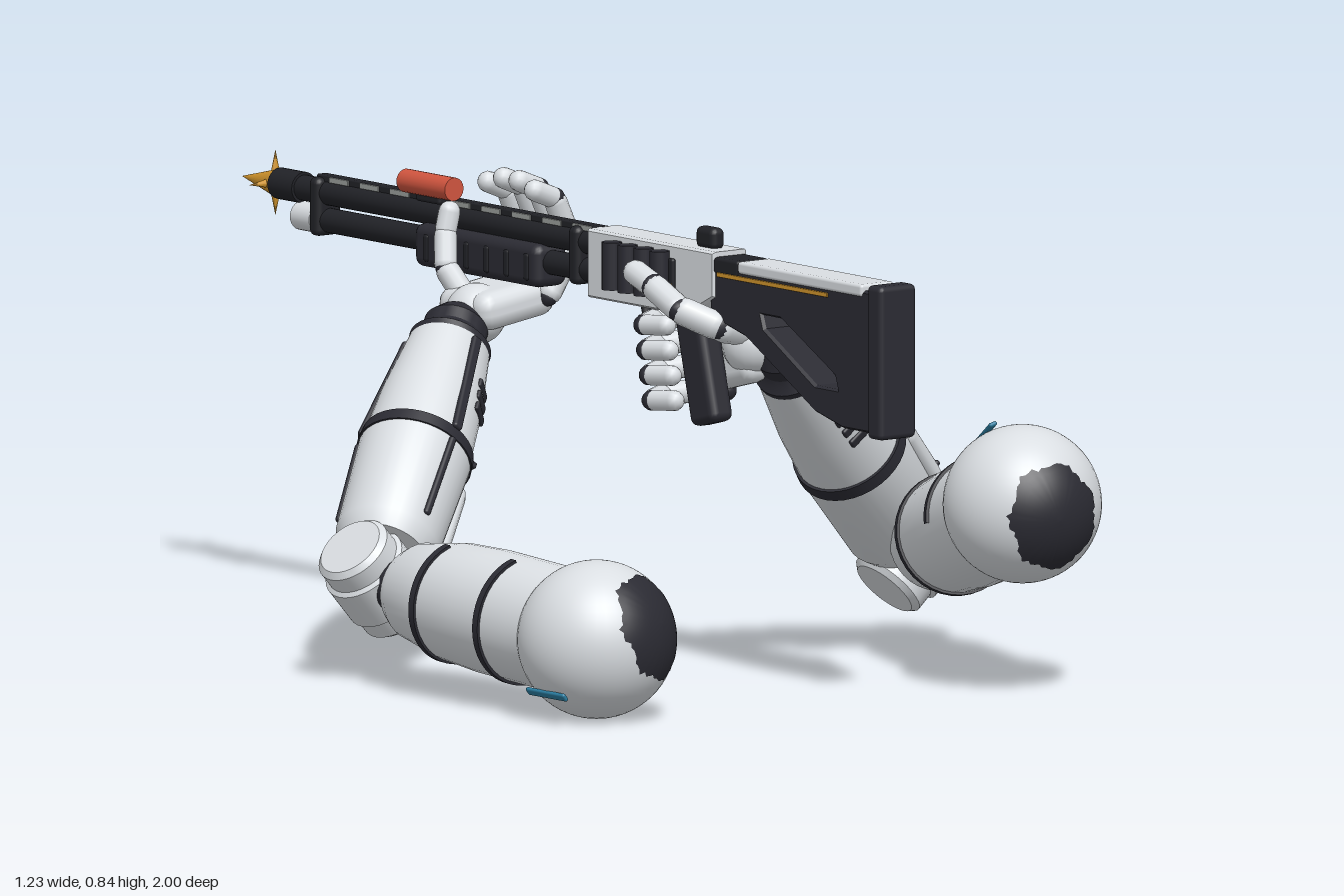
import * as THREE from 'three';
import { toCreasedNormals } from 'three/addons/utils/BufferGeometryUtils.js';
import { RoundedBoxGeometry } from 'three/addons/geometries/RoundedBoxGeometry.js';

const mat = (name, color) => Object.assign(new THREE.MeshStandardMaterial({ color }), { name });
const shell = mat('pale armour', 0xdadee2);
const joint = mat('dark joint', 0x2b2b33);
const black = mat('gun black', 0x212227);
const grey = mat('mid grey', 0x9a9e9c);
const amber = mat('amber', 0xd0942c);
const red = mat('red', 0xd0553f);
const blue = mat('blue', 0x2c7fa3);

const V = (x, y, z) => new THREE.Vector3(x, y, z);

function add(parent, name, geometry, material, x = 0, y = 0, z = 0) {
  const m = new THREE.Mesh(geometry, material);
  m.name = name;
  m.position.set(x, y, z);
  parent.add(m);
  return m;
}
const box = (w, h, d, r = 0.006) => new RoundedBoxGeometry(w, h, d, 2, Math.min(r, w / 2.1, h / 2.1, d / 2.1));
const tubeZ = (r, len, r2 = r) => new THREE.CylinderGeometry(r, r2, len, 24).rotateX(-Math.PI / 2);
const lathe = (pts) => toCreasedNormals(
  new THREE.LatheGeometry(pts.map(([r, y]) => new THREE.Vector2(r, y)), 36), 0.5);

// Group at a, +y running toward b, +z turned toward the given side
function frame(parent, name, a, b, side) {
  const y = b.clone().sub(a).normalize();
  const z = side.clone().addScaledVector(y, -side.dot(y)).normalize();
  const g = new THREE.Group();
  g.name = name;
  g.quaternion.setFromRotationMatrix(new THREE.Matrix4().makeBasis(V().crossVectors(y, z), y, z));
  g.position.copy(a);
  parent.add(g);
  return g;
}

// Jointed finger: one capsule per path segment
function finger(parent, name, pts, r) {
  const g = new THREE.Group();
  g.name = name;
  parent.add(g);
  for (let i = 0; i < pts.length - 1; i++) {
    const len = pts[i].distanceTo(pts[i + 1]);
    const f = frame(g, 'fingerJoint', pts[i], pts[i + 1], V(0.31, 0.52, 0.8));
    add(f, 'fingerShell', new THREE.CapsuleGeometry(r * (1 - 0.05 * i), len * 0.74, 4, 12), shell, 0, len / 2, 0);
    add(f, 'knuckle', new THREE.SphereGeometry(r * 0.85, 12, 8), joint);
  }
}

// Ragged dark patch lying on the shoulder ball
function patch(angle, radius) {
  const rings = 8, seg = 72, pos = [], idx = [];
  for (let i = 0; i <= rings; i++) for (let j = 0; j <= seg; j++) {
    const k = j % seg;
    const w = k / seg * Math.PI * 2;
    const ragged = 1 + 0.08 * Math.sin(w * 2 + 1) + 0.05 * Math.sin(w * 7) + 0.05 * Math.sin(k * 2.4) * Math.sin(w * 3);
    const t = angle * ragged * i / rings;
    pos.push(radius * Math.sin(t) * Math.cos(w), radius * Math.sin(t) * Math.sin(w), radius * Math.cos(t));
  }
  for (let i = 0; i < rings; i++) for (let j = 0; j < seg; j++) {
    const a = i * (seg + 1) + j, b = a + seg + 1;
    idx.push(a, b, b + 1, a, b + 1, a + 1);
  }
  const g = new THREE.BufferGeometry();
  g.setAttribute('position', new THREE.Float32BufferAttribute(pos, 3));
  g.setIndex(idx);
  g.computeVertexNormals();
  return g;
}

function arm(root, name, o) {
  const g = new THREE.Group();
  g.name = name;
  root.add(g);
  const { shoulder, elbow, wrist } = o;

  // Shoulder ball
  add(g, 'shoulder', new THREE.SphereGeometry(0.141, 48, 32), shell, ...shoulder);
  const worn = frame(g, 'shoulderPatch', shoulder, shoulder.clone().add(V(0, 1, 0).cross(o.patch)), o.patch);
  add(worn, 'wornPatch', patch(o.patchAngle, 0.1425), joint);
  const mark = frame(g, 'shoulderMark', shoulder, shoulder.clone().add(o.markRun), o.mark);
  add(mark, 'blueMark', box(0.016, 0.11, 0.008), blue, 0, 0, 0.142);

  // Upper arm
  const L = shoulder.distanceTo(elbow);
  const u = frame(g, 'upperArm', shoulder, elbow, o.bandSide);
  add(u, 'upperArmShell', lathe([[0, 0.05], [0.108, 0.06], [0.112, 0.12], [0.112, L * 0.45], [0.106, L * 0.62],
    [0.088, L - 0.13], [0.075, L - 0.105], [0, L - 0.105]]), shell);
  add(u, 'elbowStem', new THREE.CylinderGeometry(0.05, 0.05, 0.12, 24), joint, 0, L - 0.07, 0);
  [[0.32, 0.114], [0.62, 0.108]].forEach(([t, r], i) => {
    const arc = o.bandArcs[i];
    add(u, 'armBand', new THREE.CylinderGeometry(r + 0.003, r + 0.003, 0.014, 36, 1, false, -arc / 2, arc), joint, 0, L * t, 0);
  });

  // Elbow hinge, square to both arm halves
  const axis = shoulder.clone().sub(elbow).cross(wrist.clone().sub(elbow)).normalize();
  const h = frame(g, 'elbow', elbow, elbow.clone().add(axis), V(0.1, 0.2, 1));
  add(h, 'elbowHub', lathe([[0, -0.088], [0.06, -0.088], [0.07, -0.078], [0.07, -0.045], [0.078, -0.04],
    [0.078, 0.04], [0.07, 0.045], [0.07, 0.078], [0.06, 0.088], [0, 0.088]]), shell);

  // Forearm: two shells with a dark band and cuff
  const F = elbow.distanceTo(wrist);
  const f = frame(g, 'forearm', elbow, wrist, V(0, 0, 1));
  add(f, 'lowerShell', lathe([[0, 0.06], [0.08, 0.06], [0.094, 0.09], [0.102, F * 0.5], [0, F * 0.5]]), shell);
  add(f, 'forearmBand', new THREE.CylinderGeometry(0.103, 0.105, 0.024, 36), joint, 0, F * 0.51, 0);
  add(f, 'upperShell', lathe([[0, F * 0.53], [0.098, F * 0.53], [0.092, F * 0.7], [0.074, F - 0.045], [0, F - 0.045]]), shell);
  add(f, 'cuff', lathe([[0, F - 0.05], [0.074, F - 0.05], [0.075, F - 0.035], [0.064, F - 0.025], [0.058, F - 0.015],
    [0.058, F + 0.01], [0.04, F + 0.035], [0, F + 0.035]]), joint);

  // Raised panel with dark bolts, and two studs past the band
  const p = frame(g, 'panelSide', elbow, wrist, o.panel);
  const raised = add(p, 'raisedPanel', new THREE.CapsuleGeometry(0.036, 0.11, 6, 16), shell, 0, F * 0.34, 0.097);
  raised.scale.z = 0.6;
  for (const s of [-1, 1]) {
    add(p, 'panelBolt', new THREE.SphereGeometry(0.006, 10, 8), joint, 0, F * 0.34 + s * 0.06, 0.118);
    add(p, 'panelStud', box(0.012, 0.012, 0.02, 0.003), joint, s * 0.02, F * 0.58, 0.103);
  }

  // Vent slots and narrow seams
  for (const side of o.vents) {
    const s = frame(g, 'ventSide', elbow, wrist, side);
    for (let i = 0; i < 3; i++)
      add(s, 'ventSlot', box(0.052, 0.018, 0.009), joint, 0, F * 0.68 + i * 0.027, 0.092 - i * 0.004);
  }
  for (const side of o.seams) {
    const s = frame(g, 'seamSide', elbow, wrist, side);
    const upper = add(s, 'upperSeam', box(0.02, 0.23, 0.012), joint, 0, F * 0.72, 0.09);
    upper.rotation.x = -0.12;
    const lower = add(s, 'lowerSeam', box(0.014, 0.18, 0.012), joint, 0, F * 0.34, 0.098);
    lower.rotation.x = 0.04;
  }
}

function gun(root) {
  const g = new THREE.Group();
  g.name = 'longGun';
  root.add(g);

  // Stock with slanted cut-out
  const outline = new THREE.Shape([[0.87, 0.5], [0.87, 0.745], [0.4, 0.745], [0.4, 0.655], [0.5, 0.63], [0.7, 0.52], [0.78, 0.5]]
    .map(([a, b]) => new THREE.Vector2(a, b)));
  outline.holes.push(new THREE.Path([[0.77, 0.56], [0.7, 0.56], [0.55, 0.645], [0.54, 0.675], [0.6, 0.675], [0.76, 0.59]]
    .map(([a, b]) => new THREE.Vector2(a, b))));
  const stock = new THREE.ExtrudeGeometry(outline, { depth: 0.054, bevelEnabled: true, bevelSize: 0.004, bevelThickness: 0.006, bevelSegments: 1 });
  add(g, 'stock', stock.translate(0, 0, -0.027).rotateY(-Math.PI / 2), joint);
  add(g, 'buttPad', box(0.082, 0.275, 0.042, 0.01), joint, 0, 0.625, 0.88);
  add(g, 'comb', box(0.074, 0.022, 0.36), shell, 0, 0.749, 0.66);
  add(g, 'combFront', box(0.07, 0.03, 0.08), black, 0, 0.745, 0.44);
  for (const s of [-1, 1]) add(g, 'stockStripe', box(0.004, 0.008, 0.32, 0.001), amber, s * 0.035, 0.73, 0.58);

  // Receiver
  const body = new THREE.Shape([[0.41, 0.69], [0.41, 0.765], [0.05, 0.765], [0.05, 0.65], [0.33, 0.65]]
    .map(([a, b]) => new THREE.Vector2(a, b)));
  const receiver = new THREE.ExtrudeGeometry(body, { depth: 0.064, bevelSize: 0.004, bevelThickness: 0.006, bevelSegments: 1 });
  add(g, 'receiver', receiver.translate(0, 0, -0.032).rotateY(-Math.PI / 2), shell);
  add(g, 'portFrame', box(0.006, 0.046, 0.13, 0.002), black, 0.038, 0.73, 0.175);
  add(g, 'ejectionPort', box(0.008, 0.038, 0.115, 0.002), amber, 0.039, 0.73, 0.172);
  for (const z of [0.09, 0.28]) add(g, 'pin', box(0.006, 0.012, 0.012), amber, 0.038, 0.667, z);
  add(g, 'rearSight', box(0.03, 0.04, 0.055, 0.012), black, 0, 0.785, 0.355);

  // Shell carrier
  add(g, 'carrierPlate', box(0.01, 0.07, 0.19), black, -0.041, 0.71, 0.21);
  for (let i = 0; i < 4; i++)
    add(g, 'spareShell', new THREE.CylinderGeometry(0.018, 0.018, 0.085, 16), joint, -0.054, 0.715, 0.14 + i * 0.046);
  add(g, 'carrierTab', box(0.022, 0.022, 0.008, 0.002), amber, -0.056, 0.69, 0.3);

  // Grip and trigger guard
  const grip = add(g, 'grip', box(0.05, 0.22, 0.075, 0.015), joint, 0, 0.56, 0.335);
  grip.rotation.x = -0.25;
  const guard = add(g, 'triggerGuard', new THREE.TorusGeometry(0.042, 0.009, 8, 20, Math.PI), black, 0, 0.65, 0.21);
  guard.rotation.set(Math.PI, Math.PI / 2, 0);

  // Barrel, rib and magazine tube
  add(g, 'barrel', tubeZ(0.023, 0.94), black, 0, 0.738, -0.42);
  add(g, 'barrelRib', box(0.022, 0.014, 0.82, 0.003), black, 0, 0.763, -0.36);
  for (let i = 0; i < 9; i++) for (const s of [-1, 1])
    add(g, 'ribVent', box(0.004, 0.01, 0.055, 0.001), grey, s * 0.0115, 0.763, -i * 0.088);
  add(g, 'magazineTube', tubeZ(0.022, 0.84), black, 0, 0.688, -0.36);
  add(g, 'magazineCap', tubeZ(0.026, 0.055), shell, 0, 0.688, -0.8);
  for (const z of [-0.01, -0.76]) add(g, 'barrelClamp', box(0.056, 0.105, 0.03, 0.012), black, 0, 0.713, z);
  add(g, 'foreEnd', box(0.074, 0.078, 0.36, 0.018), joint, 0, 0.682, -0.28);
  for (let i = 0; i < 6; i++) add(g, 'foreEndRib', box(0.079, 0.05, 0.016), black, 0, 0.68, -0.13 - i * 0.058);

  // Muzzle with spiked amber tip
  add(g, 'muzzle', tubeZ(0.028, 0.07), black, 0, 0.738, -0.855);
  add(g, 'tip', tubeZ(0, 0.11, 0.026), amber, 0, 0.738, -0.945);
  for (let i = 0; i < 4; i++) {
    const a = i * Math.PI / 2;
    const spike = add(g, 'tipSpike', new THREE.ConeGeometry(0.01, 0.05, 8), amber,
      Math.sin(a) * -0.034, 0.738 + Math.cos(a) * 0.034, -0.903);
    spike.rotation.z = a;
  }

  // Red canister beside the rib
  const canister = new THREE.CylinderGeometry(0.021, 0.021, 0.14, 20).rotateX(Math.PI / 2);
  add(g, 'canister', canister, red, -0.02, 0.79, -0.43);
  add(g, 'canisterMount', box(0.03, 0.02, 0.07), black, -0.012, 0.768, -0.43);
}

// Hand under the fore-end, fingers wrapping up and over
function supportHand(root) {
  const g = new THREE.Group();
  g.name = 'supportHand';
  root.add(g);
  const palm = add(g, 'palm', box(0.17, 0.07, 0.15, 0.03), shell, -0.01, 0.603, -0.25);
  palm.rotation.z = 0.15;
  add(g, 'heel', new THREE.SphereGeometry(0.055, 20, 14), shell, -0.06, 0.585, -0.245);
  const mark = add(g, 'palmMark', box(0.008, 0.045, 0.01), blue, 0.07, 0.59, -0.25);
  mark.rotation.z = -0.5;
  for (let i = 0; i < 4; i++) {
    const z = -0.18 - i * 0.045, d = i === 0 || i === 3 ? -0.012 : 0;
    finger(g, 'finger', [V(0.05, 0.615, z), V(0.085, 0.67, z), V(0.09, 0.745 + d, z), V(0.065, 0.8 + d, z), V(0.015, 0.82 + d, z)], 0.023);
  }
  finger(g, 'thumb', [V(-0.05, 0.6, -0.28), V(-0.07, 0.66, -0.32), V(-0.055, 0.72, -0.34), V(-0.045, 0.76, -0.34)], 0.022);
}

// Hand on the grip, fingers wrapping round its front
function gripHand(root) {
  const g = new THREE.Group();
  g.name = 'gripHand';
  root.add(g);
  const palm = add(g, 'palm', box(0.06, 0.15, 0.13, 0.025), shell, 0.055, 0.59, 0.355);
  palm.rotation.x = -0.25;
  add(g, 'heel', new THREE.SphereGeometry(0.055, 20, 14), shell, 0.06, 0.595, 0.4);
  add(g, 'palmMark', box(0.008, 0.01, 0.045), blue, 0.086, 0.575, 0.328);
  for (let i = 0; i < 4; i++) {
    const y = 0.635 - i * 0.044, z = 0.008 * i;
    finger(g, 'finger', [V(0.06, y, 0.3 + z), V(0.045, y - 0.005, 0.235 + z), V(-0.02, y - 0.01, 0.22 + z),
      V(-0.075, y - 0.01, 0.26 + z), V(-0.065, y - 0.005, 0.32 + z)], 0.022);
  }
  finger(g, 'thumb', [V(0.045, 0.62, 0.41), V(-0.03, 0.635, 0.42), V(-0.08, 0.665, 0.37), V(-0.085, 0.7, 0.3), V(-0.083, 0.72, 0.24)], 0.027);
}

export function createModel() {
  const root = new THREE.Group();
  root.name = 'armsWithLongGun';
  gun(root);
  arm(root, 'supportArm', {
    shoulder: V(-0.47, 0.142, 0.635), elbow: V(-0.49, 0.18, 0.02), wrist: V(-0.115, 0.56, -0.235),
    patch: V(0.34, 0.26, 0.9), patchAngle: 0.68, mark: V(-0.75, -0.6, 0.1), markRun: V(0, 0, 1),
    bandSide: V(-0.9, -0.3, 0), bandArcs: [3.2, 3.2],
    panel: V(0.7, -0.6, 0.2), vents: [V(0.4, -0.25, 1), V(-0.1, -0.2, -1)], seams: [V(-0.05, 0.2, 1), V(-0.3, 0.5, -0.9)],
  });
  arm(root, 'gripArm', {
    shoulder: V(0.31, 0.34, 0.857), elbow: V(0.51, 0.17, 0.285), wrist: V(0.1, 0.585, 0.445),
    patch: V(-0.16, -0.09, 0.97), patchAngle: 0.68, mark: V(-0.2, 0.85, -0.55), markRun: V(0.25, -0.5, -0.85),
    bandSide: V(-0.2, 1, 0), bandArcs: [2.8, Math.PI * 2],
    panel: V(0.55, 0.7, 0.4), vents: [V(-0.1, -0.1, 1), V(0.1, -0.2, -1)], seams: [V(-0.2, 0.5, -0.9)],
  });
  supportHand(root);
  gripHand(root);
  return root;
}
